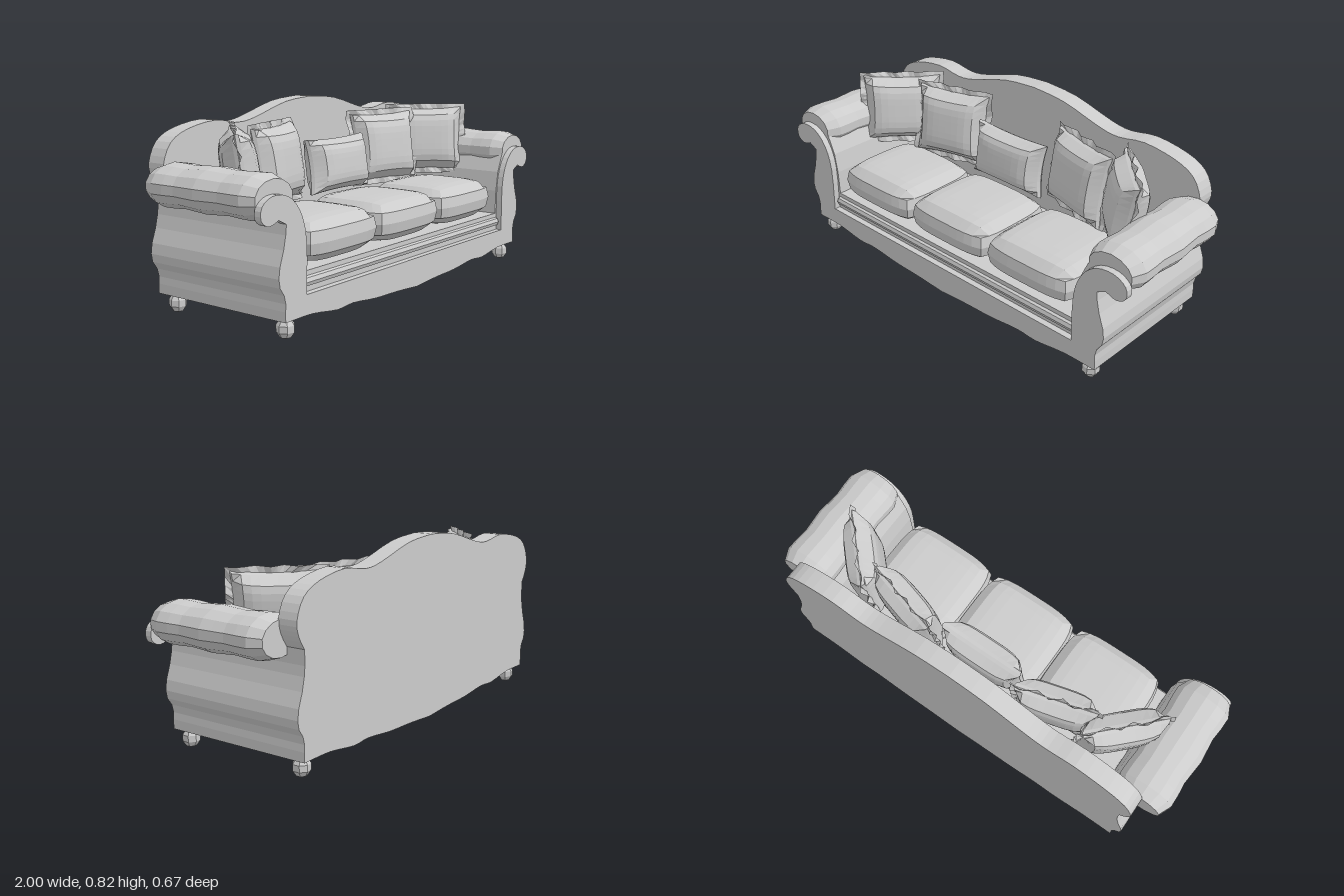
import * as THREE from 'three';

const material = new THREE.MeshStandardMaterial({ color: 0xcccccc, flatShading: true, side: THREE.DoubleSide });

function addMesh(parent, name, geometry) {
  const mesh = new THREE.Mesh(geometry, material);
  mesh.name = name;
  parent.add(mesh);
  return mesh;
}

// Smooth list of points through a few control points
function spline(points, divisions) {
  const curve = new THREE.SplineCurve(points.map(([x, y]) => new THREE.Vector2(x, y)));
  return curve.getPoints(divisions).map((p) => [p.x, p.y]);
}

// Mirrors a right-hand outline (bottom centre to top centre) and extrudes it from z0 to z1
function mirroredSlab(half, z0, z1) {
  const left = half.slice(1, -1).reverse().map(([x, y]) => [-x, y]);
  const shape = new THREE.Shape([...half, ...left].map(([x, y]) => new THREE.Vector2(x, y)));
  const geometry = new THREE.ExtrudeGeometry(shape, { depth: z1 - z0, bevelEnabled: false });
  return geometry.translate(0, 0, z0);
}

// Stuffed cushion: thick in the middle, thin at the edges; pinch > 0 draws the sides in
// between the corners, pinch < 0 rounds the corners off
function cushion(w, h, d, edge, pinch) {
  const geometry = new THREE.BoxGeometry(2, 2, 2, 10, 10, 2);
  const pos = geometry.attributes.position;
  for (let i = 0; i < pos.count; i++) {
    const u = pos.getX(i), v = pos.getY(i), s = pos.getZ(i);
    const puff = edge + (1 - edge) * Math.sqrt((1 - u ** 4) * (1 - v ** 4));
    const seam = Math.abs(s) < 0.5 ? 1 : 0.96;
    const bend = (a) => (pinch > 0 ? 1 - pinch * (1 - a * a) : 1 + pinch * a ** 4);
    pos.setXYZ(i, w * u * bend(v) * seam, h * v * bend(u) * seam, d * s * puff);
  }
  geometry.computeVertexNormals();
  return geometry;
}

// Wavy cloth ruffle around the edge of a throw pillow
function ruffle(w, h) {
  const geometry = new THREE.PlaneGeometry(1, 1, 48, 1);
  const pos = geometry.attributes.position;
  for (let i = 0; i < pos.count; i++) {
    const a = (pos.getX(i) + 0.5) * Math.PI * 2;
    const outer = pos.getY(i) > 0;
    const c = Math.cos(a), s = Math.sin(a);
    const k = (outer ? 1.1 : 0.88) / Math.max(Math.abs(c), Math.abs(s));
    const wave = outer ? Math.sin(a * 12) * 0.012 : 0;
    pos.setXYZ(i, w * c * k, h * s * k, wave);
  }
  geometry.computeVertexNormals();
  return geometry;
}

// Rolled armrest: a padded tube along z with soft ends and gentle swells
function armRoll(length) {
  const geometry = new THREE.CylinderGeometry(1, 1, 2, 14, 10).rotateX(Math.PI / 2);
  const pos = geometry.attributes.position;
  for (let i = 0; i < pos.count; i++) {
    const t = pos.getZ(i);
    const s = 0.97 - 0.18 * t ** 8 + 0.04 * Math.cos(t * 8);
    pos.setXYZ(i, 0.128 * s * pos.getX(i), 0.09 * s * pos.getY(i), t * length / 2);
  }
  geometry.computeVertexNormals();
  return geometry;
}

export function createModel() {
  const sofa = new THREE.Group();
  sofa.name = 'sofa';

  // Shared outline: scalloped lower edge and curved side
  const lowerEdge = spline([[0, 0.035], [0.15, 0.045], [0.3, 0.05], [0.45, 0.065],
    [0.55, 0.06], [0.7, 0.08], [0.85, 0.08]], 18);
  const side = spline([[0.85, 0.12], [0.85, 0.17], [0.88, 0.22], [0.88, 0.28], [0.85, 0.37], [0.84, 0.44]], 8);

  // Body with the arm walls and the deck beneath the seats
  addMesh(sofa, 'body', mirroredSlab([...lowerEdge, ...side,
    [0.84, 0.52], [0.77, 0.52], [0.735, 0.44], [0.72, 0.35], [0.715, 0.24], [0, 0.24]], -0.26, 0.307));

  // Camel-shaped back panel
  const camelTop = spline([[0.84, 0.5], [0.87, 0.55], [0.88, 0.61], [0.84, 0.69], [0.75, 0.735],
    [0.6, 0.758], [0.47, 0.74], [0.37, 0.752], [0.17, 0.807], [0, 0.822]], 27);
  addMesh(sofa, 'backPanel', mirroredSlab([...lowerEdge, ...side, ...camelTop], -0.335, -0.25));

  // Front frame: low rail and posts that curl outward as scrolls
  const scroll = spline([[0.88, 0.46], [0.93, 0.445], [0.97, 0.47], [0.965, 0.52], [0.91, 0.55],
    [0.83, 0.54], [0.765, 0.48], [0.73, 0.37], [0.73, 0.16]], 24);
  addMesh(sofa, 'frontFrame', mirroredSlab([...lowerEdge, ...side, ...scroll, [0, 0.16]], 0.305, 0.335));

  // Moulding along the front rail
  const rail = addMesh(sofa, 'railMoulding', new THREE.CylinderGeometry(0.022, 0.022, 1.44, 8));
  rail.rotation.z = Math.PI / 2;
  rail.position.set(0, 0.2, 0.303);

  // Three seat cushions
  for (const i of [-1, 0, 1]) {
    const seat = addMesh(sofa, 'seatCushion', cushion(0.232, 0.215, 0.092, 0.5, -0.1).rotateX(-Math.PI / 2));
    seat.position.set(i * 0.455, 0.33, 0.105);
  }

  // Throw pillow standing on the seat, turned inward and leaning back
  function addPillow(name, [x, y, z], [w, h, d], yaw, frilled) {
    const pillow = new THREE.Group();
    pillow.name = name;
    pillow.position.set(x, y, z);
    pillow.rotation.set(-0.15, yaw, 0, 'YXZ');
    addMesh(pillow, 'pillowFilling', cushion(w, h, d, 0.2, 0.07));
    if (frilled) addMesh(pillow, 'pillowRuffle', ruffle(w, h));
    sofa.add(pillow);
  }
  addPillow('centrePillow', [0, 0.53, -0.1], [0.2, 0.12, 0.075], 0, false);

  for (const s of [-1, 1]) {
    addPillow('innerPillow', [s * 0.38, 0.57, -0.12], [0.18, 0.16, 0.075], -s * 0.27, true);
    addPillow('outerPillow', [s * 0.66, 0.585, -0.06], [0.18, 0.155, 0.075], -s * 0.8, true);

    addMesh(sofa, 'armRoll', armRoll(0.56)).position.set(s * 0.872, 0.535, 0.027);

    // Faceted bun feet
    for (const z of [0.29, -0.28]) {
      const foot = addMesh(sofa, 'foot', new THREE.SphereGeometry(1, 7, 5));
      foot.scale.set(0.038, 0.042, 0.038);
      foot.position.set(s * 0.8, 0.042, z);
    }
  }
  return sofa;
}
